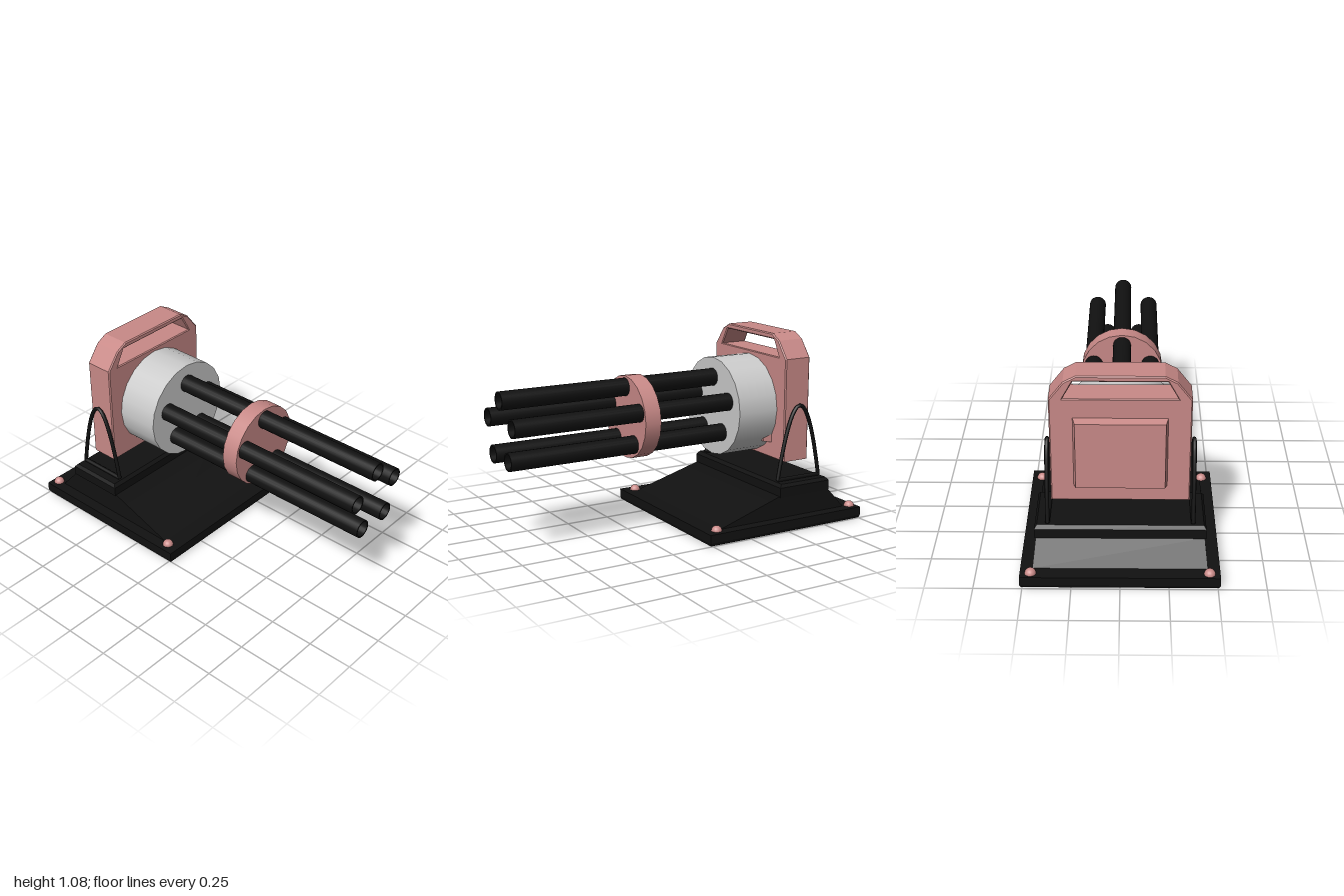
import * as THREE from 'three';
import { toCreasedNormals } from 'three/addons/utils/BufferGeometryUtils.js';

const pink = new THREE.MeshStandardMaterial({ color: 0xc98a88 });
const black = new THREE.MeshStandardMaterial({ color: 0x111111 });
const grey = new THREE.MeshStandardMaterial({ color: 0xcccccc });

const AXIS_Y = 0.648; // height of the barrel axis

function add(parent, name, geometry, material, x = 0, y = 0, z = 0) {
  const mesh = new THREE.Mesh(geometry, material);
  mesh.name = name;
  mesh.position.set(x, y, z);
  parent.add(mesh);
  return mesh;
}

// Closed solid through stacked rectangles, each [y, x0, x1, halfDepth]
function loft(sections) {
  const pos = [], idx = [];
  for (const [y, x0, x1, d] of sections) pos.push(x0, y, d, x1, y, d, x1, y, -d, x0, y, -d);
  for (let i = 0; i < sections.length - 1; i++) {
    for (let k = 0; k < 4; k++) {
      const a = i * 4 + k, b = i * 4 + (k + 1) % 4;
      idx.push(a, b, b + 4, a, b + 4, a + 4);
    }
  }
  const t = (sections.length - 1) * 4;
  idx.push(0, 2, 1, 0, 3, 2, t, t + 1, t + 2, t, t + 2, t + 3);
  const g = new THREE.BufferGeometry();
  g.setAttribute('position', new THREE.Float32BufferAttribute(pos, 3));
  g.setIndex(idx);
  return toCreasedNormals(g, 0.3);
}

// Cylinder lying along x, from x0 to x1
function axial(radius, x0, x1, sides) {
  return new THREE.CylinderGeometry(radius, radius, x1 - x0, sides)
    .rotateZ(-Math.PI / 2).translate((x0 + x1) / 2, 0, 0);
}

export function createModel() {
  const model = new THREE.Group();
  model.name = 'mountedRotaryTurret';

  // Base plate, sloping pedestal and bearing block
  add(model, 'basePlate', loft([
    [0, -0.98, 0.002, 0.492], [0.006, -0.994, 0.016, 0.506],
    [0.022, -1, 0.022, 0.512], [0.07, -1, 0.022, 0.512],
  ]), black);
  add(model, 'pedestal', loft([[0.07, -0.92, -0.08, 0.45], [0.19, -0.815, -0.48, 0.436]]), black);
  add(model, 'bearingBlock', loft([
    [0.185, -0.818, -0.48, 0.443], [0.24, -0.818, -0.48, 0.443], [0.258, -0.802, -0.496, 0.43],
  ]), black);

  // Domed corner bolts
  for (const x of [-0.96, -0.05]) {
    for (const z of [-0.457, 0.457]) {
      add(model, 'bolt', new THREE.SphereGeometry(0.03, 16, 8, 0, Math.PI * 2, 0, Math.PI / 2), pink, x, 0.069, z);
    }
  }

  // Arched side brackets with a foot bar
  const archPoints = [];
  for (let i = -8; i <= 8; i++) {
    const t = i / 8;
    archPoints.push(new THREE.Vector3(-0.65 + 0.142 * t, 0.682 - 0.417 * t * t, 0));
  }
  const arch = new THREE.TubeGeometry(new THREE.CatmullRomCurve3(archPoints), 40, 0.011, 8);
  for (const z of [-0.375, 0.375]) {
    const bracket = new THREE.Group();
    bracket.name = 'sideBracket';
    bracket.position.z = z;
    add(bracket, 'arch', arch, black);
    add(bracket, 'footBar', axial(0.012, -0.79, -0.51, 8), black, 0, 0.266, 0);
    model.add(bracket);
  }

  // Housing with carrying handle cut-out, drawn in (z, y) and extruded along x
  const b = 0.006;
  const outline = [
    [-0.357, 0.36], [0.357, 0.36], [0.357, 0.95], [0.285, 1.043],
    [0.225, 1.075], [-0.225, 1.075], [-0.285, 1.043], [-0.357, 0.95],
  ];
  const shape = new THREE.Shape(outline.map(([z, y]) =>
    new THREE.Vector2(z - Math.sign(z) * b, y + (y < 0.5 ? b : -b))));
  shape.holes.push(new THREE.Path([[-0.295, 0.945], [-0.238, 1.05], [0.238, 1.05], [0.295, 0.945]]
    .map(([z, y]) => new THREE.Vector2(z, y))));
  const housing = new THREE.ExtrudeGeometry(shape, {
    depth: 0.165 - 2 * b, bevelSize: b, bevelThickness: b, bevelSegments: 1,
  });
  housing.rotateY(Math.PI / 2).translate(-0.725 + b, 0, 0);
  add(model, 'housing', housing, pink);

  // Raised rear panel and small lug beside the drum
  const panel = loft([[0.72, 0.452, 0.845, 0.24], [0.77, 0.462, 0.832, 0.227]]);
  add(model, 'rearPanel', panel.rotateZ(Math.PI / 2), pink);
  const lug = loft([[-0.565, -0.56, -0.45, 0.035], [-0.51, -0.55, -0.46, 0.025]]);
  add(model, 'sideLug', lug.rotateZ(-Math.PI / 2), pink, 0, 0, -0.202);

  // Drum and barrel clamp
  add(model, 'drum', axial(0.282, -0.565, -0.31, 20), grey, 0, AXIS_Y, 0);
  add(model, 'barrelClamp', axial(0.23, 0.163, 0.258, 20), pink, 0, AXIS_Y, 0);

  // Five hollow barrels, open at the muzzle
  const barrel = toCreasedNormals(new THREE.LatheGeometry([
    [0.05, -0.33], [0.05, 1], [0.042, 1], [0.042, 0.2],
  ].map(([r, y]) => new THREE.Vector2(r, y)), 20).rotateZ(-Math.PI / 2), 0.6);
  for (let i = 0; i < 5; i++) {
    const a = i * Math.PI * 2 / 5;
    add(model, 'barrel', barrel, black, 0, AXIS_Y + 0.168 * Math.cos(a), 0.168 * Math.sin(a));
  }
  return model;
}
